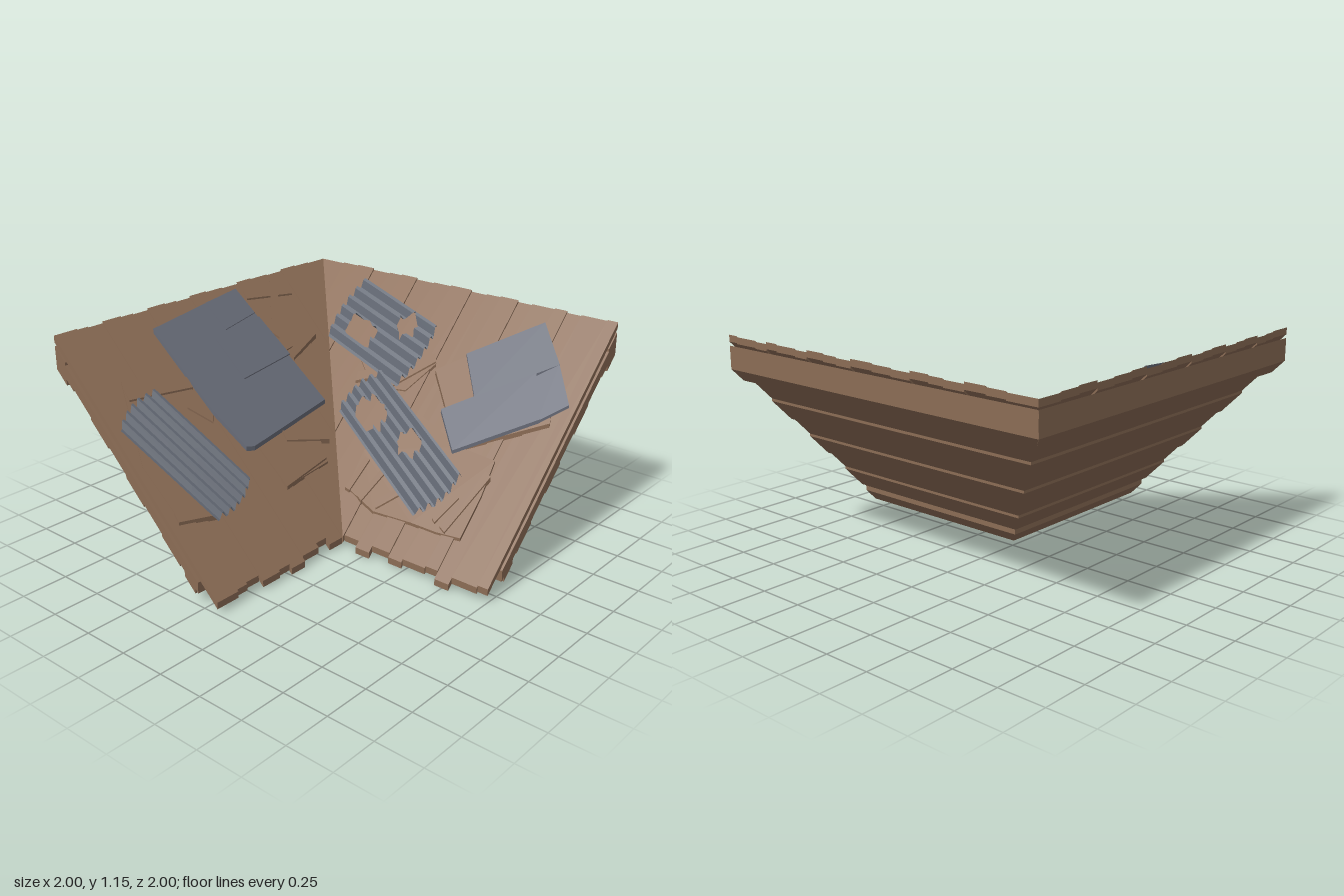
import * as THREE from 'three';

const wood = new THREE.MeshStandardMaterial({ color: 0x8b6c55 });
wood.name = 'weathered wood';
const steel = new THREE.MeshStandardMaterial({ color: 0x686c78 });
steel.name = 'flat steel';
const corrugated = new THREE.MeshStandardMaterial({ color: 0x646a75, side: THREE.DoubleSide });
corrugated.name = 'corrugated steel';

let seed = 7;
const rnd = () => (seed = (seed * 16807) % 2147483647) / 2147483647;

// A slope is described by a (along the eave), b (horizontal distance downhill)
// and s (height offset), so that y = s - b. The back slope has a = x, b = z,
// the side slope has a = z, b = x.
const slopes = {
  back: { sign: 1, matrix: new THREE.Matrix4().set(1, 0, 0, 0, 0, 1, 1, 0, 0, -1, 0, 0, 0, 0, 0, 1) },
  side: { sign: -1, matrix: new THREE.Matrix4().set(0, -1, 0, 0, 0, 1, 1, 0, -1, 0, 0, 0, 0, 0, 0, 1) },
};

function addMesh(group, name, geometry, material) {
  geometry.computeVertexNormals();
  const mesh = new THREE.Mesh(geometry, material);
  mesh.name = name;
  group.add(mesh);
}

// Slab lying on a slope: outline of [a, b] points, top at s
function slab(group, slope, name, outline, s, thick, material = wood) {
  const shape = new THREE.Shape(outline.map(([a, b]) => new THREE.Vector2(slope.sign * a, -b)));
  const g = new THREE.ExtrudeGeometry(shape, { depth: thick, bevelEnabled: false });
  g.translate(0, 0, s - thick).applyMatrix4(slope.matrix);
  addMesh(group, name, g, material);
}

// Same, with the outline given as [a, y] seen straight on
const plate = (group, slope, name, outline, s, thick, material) =>
  slab(group, slope, name, outline.map(([a, y]) => [a, s - y]), s, thick, material);

// Loose stick between two [a, y] points
function stick(group, slope, [a0, y0, a1, y1, w]) {
  const l = Math.hypot(a1 - a0, y1 - y0);
  const px = (-(y1 - y0) / l) * w / 2, py = ((a1 - a0) / l) * w / 2;
  plate(group, slope, 'looseStick', [
    [a0 + px, y0 + py], [a1 + px * 0.8, y1 + py * 0.8], [a1 - px, y1 - py], [a0 - px * 0.7, y0 - py * 0.7],
  ], 0.172, 0.03);
}

// Corrugated sheet on a parallelogram P, U, V with torn oval holes [u, v, ru, rv]
function corrugatedSheet(group, slope, P, U, V, ridges, holes) {
  const rows = [];
  const n = ridges * 4;
  for (let j = 0; j <= n; j++) {
    const v = j / n;
    const s = 0.178 + (j % 4 === 1 || j % 4 === 2 ? 0.032 : 0);
    const bulge = 0.05 * Math.sin(Math.PI * v) - 0.02 + 0.012 * rnd();
    const cuts = [-bulge];
    for (const [hu, hv, ru, rv] of holes) {
      const d = 1 - ((v - hv) / rv) ** 2;
      const r = d > 0 ? Math.sqrt(d) * ru : 0;
      cuts.push(hu - r * (0.75 + 0.4 * rnd()), hu + r * (0.75 + 0.4 * rnd()));
    }
    cuts.push(1 + bulge);
    rows.push(cuts.map((u) => {
      const a = P[0] + U[0] * u + V[0] * v, b = P[1] + U[1] * u + V[1] * v;
      return [slope.sign * a, -b, s];
    }));
  }
  const pos = [];
  for (let j = 0; j < n; j++) {
    for (let k = 0; k < rows[j].length; k += 2) {
      const [p, q, r, t] = [rows[j][k], rows[j][k + 1], rows[j + 1][k + 1], rows[j + 1][k]];
      const quad = slope.sign > 0 ? [p, r, q, p, t, r] : [p, q, r, p, r, t];
      pos.push(...quad.flat());
    }
  }
  const g = new THREE.BufferGeometry();
  g.setAttribute('position', new THREE.Float32BufferAttribute(pos, 3));
  g.applyMatrix4(slope.matrix);
  addMesh(group, 'corrugatedSheet', g, corrugated);
}

// Planks, underside boards and beams of one slope, mitred along the valley a = b
function deck(group, slope, edges, eaves) {
  const first = edges.length - 1 - eaves.length;
  for (let i = 0; i < edges.length - 1; i++) {
    const a0 = edges[i] + (i ? 0 : 0.001), a1 = edges[i + 1];
    const e = i < first ? 0.1 : eaves[i - first];
    slab(group, slope, 'roofPlank',
      [[a0, -1], [a1, -1], [a1, Math.min(e, a1)], [a0, Math.min(e, a0)]],
      0.15 + (i % 3 - 1) * 0.005, 0.035);
  }
  const count = 8;
  for (let i = 0; i < count; i++) {
    const b0 = -1 + (i / count) * 0.96, b1 = -1 + ((i + 1) / count) * 0.96;
    slab(group, slope, 'undersideBoard', [[b0, b0], [1, b0], [1, b1], [b1, b1]],
      0.085, i % 2 ? 0.06 : 0.074);
  }
  slab(group, slope, 'ridgeBeam', [[-0.999, -1], [1, -1], [1, -0.93], [-0.93, -0.93]], 0.1, 0.12);
  slab(group, slope, 'eaveBeam', [[-0.13, -0.13], [1, -0.13], [1, -0.06], [-0.06, -0.06]], 0.08, 0.082);
}

export function createModel() {
  const model = new THREE.Group();
  model.name = 'roofCorner';
  const back = new THREE.Group(), side = new THREE.Group();
  back.name = 'backSlope';
  side.name = 'sideSlope';
  model.add(back, side);
  const B = slopes.back, S = slopes.side;

  deck(back, B,
    [-1, -0.83, -0.72, -0.6, -0.48, -0.39, -0.28, -0.16, -0.04, 0.1, 0.2, 0.29, 0.405, 0.49, 0.63, 0.705, 0.79, 0.94, 1],
    [0.085, 0.115, 0.09, 0.1, 0.09, 0.085, 0.11, 0.085, 0.08]);
  deck(side, S,
    [-1, -0.86, -0.74, -0.62, -0.5, -0.37, -0.26, -0.14, -0.02, 0.1, 0.2, 0.28, 0.4, 0.5, 0.58, 0.7, 0.79, 0.86, 1],
    [0.095, 0.07, 0.09, 0.105, 0.09, 0.1, 0.07, 0.08, 0.09]);

  // Corrugated sheets
  corrugatedSheet(back, B, [-0.59, -0.92], [0.62, 0.13], [-0.06, 0.28], 6,
    [[0.31, 0.68, 0.19, 0.19], [0.72, 0.25, 0.11, 0.17]]);
  corrugatedSheet(back, B, [-0.17, -0.55], [0.77, 0.3], [-0.15, 0.2], 6,
    [[0.21, 0.6, 0.13, 0.27], [0.58, 0.38, 0.1, 0.21]]);
  corrugatedSheet(side, S, [0.66, -0.66], [-0.22, 0.44], [0.31, 0.08], 6,
    [[0.7, 0.3, 0.18, 0.2], [0.33, 0.78, 0.13, 0.16]]);

  // Flat steel patch with wooden backing on the back slope
  plate(back, B, 'patchBacking', [[0.14, 0.8], [0.6, 1.07], [0.92, 0.79], [0.47, 0.54]], 0.176, 0.03);
  plate(back, B, 'patchPlate', [[0.63, 1.1], [0.28, 0.9], [0.45, 0.74], [0.82, 0.95]], 0.19, 0.014, steel);
  plate(back, B, 'patchPlate', [[0.72, 0.9], [0.3, 0.66], [0.48, 0.52], [0.86, 0.73]], 0.197, 0.02, steel);
  plate(back, B, 'patchPlate', [[0.82, 0.95], [0.72, 0.88], [0.85, 0.72], [0.97, 0.81]], 0.192, 0.016, steel);

  // Large flat steel patch on the side slope
  plate(side, S, 'patchSheet',
    [[0.46, 1.08], [-0.2, 1.14], [-0.32, 0.58], [0.3, 0.52], [0.35, 0.53], [0.41, 0.7]], 0.188, 0.025, steel);
  plate(side, S, 'patchPlate', [[0.13, 0.97], [-0.235, 1.0], [-0.28, 0.81], [0.11, 0.78]], 0.194, 0.006, steel);
  plate(side, S, 'patchPlate', [[0.05, 1.12], [-0.2, 1.14], [-0.225, 1.02], [0.03, 0.99]], 0.192, 0.004, steel);

  // Split boards left around the damage
  plate(back, B, 'splitBoard', [[-0.04, 0.4], [-0.02, 0.24], [0.2, 0.19], [0.44, 0.2], [0.6, 0.2], [0.74, 0.21],
    [0.74, 0.38], [0.72, 0.52], [0.5, 0.53], [0.2, 0.6]], 0.162, 0.02);
  plate(back, B, 'splitBoard', [[-0.4, 0.78], [-0.2, 0.66], [0.02, 0.68], [0.12, 0.82], [0, 0.9], [-0.3, 0.9]], 0.162, 0.02);
  plate(side, S, 'splitBoard', [[0.8, 0.92], [0.44, 0.86], [0.43, 0.6], [0.55, 0.36], [0.94, 0.4], [0.96, 0.6]], 0.162, 0.02);
  plate(side, S, 'splitBoard', [[-0.15, 1.13], [-0.62, 1.13], [-0.55, 0.84], [-0.3, 0.82]], 0.162, 0.02);
  plate(side, S, 'splitBoard', [[0.27, 0.56], [0.24, 0.32], [-0.1, 0.34], [-0.2, 0.56]], 0.162, 0.02);

  // Loose sticks
  [[-0.01, 0.24, 0.01, 0.38, 0.04], [0.09, 0.22, 0.15, 0.38, 0.04], [0.2, 0.22, 0.36, 0.36, 0.04],
    [0.63, 0.22, 0.72, 0.47, 0.05], [0.56, 0.24, 0.62, 0.36, 0.03], [-0.32, 0.68, -0.1, 0.76, 0.05],
    [-0.08, 0.7, 0.1, 0.85, 0.05], [0.5, 0.55, 0.9, 0.74, 0.05]].forEach((p) => stick(back, B, p));
  [[0.25, 0.35, -0.1, 0.38, 0.05], [0.07, 0.51, -0.2, 0.44, 0.05], [-0.28, 0.9, -0.5, 1.11, 0.05],
    [-0.3, 0.8, -0.56, 0.86, 0.04], [-0.25, 1.1, -0.58, 1.06, 0.04], [0.82, 0.87, 0.43, 0.83, 0.05],
    [0.52, 0.76, 0.43, 0.67, 0.04], [0.95, 0.4, 0.72, 0.36, 0.05]].forEach((p) => stick(side, S, p));

  return model;
}
